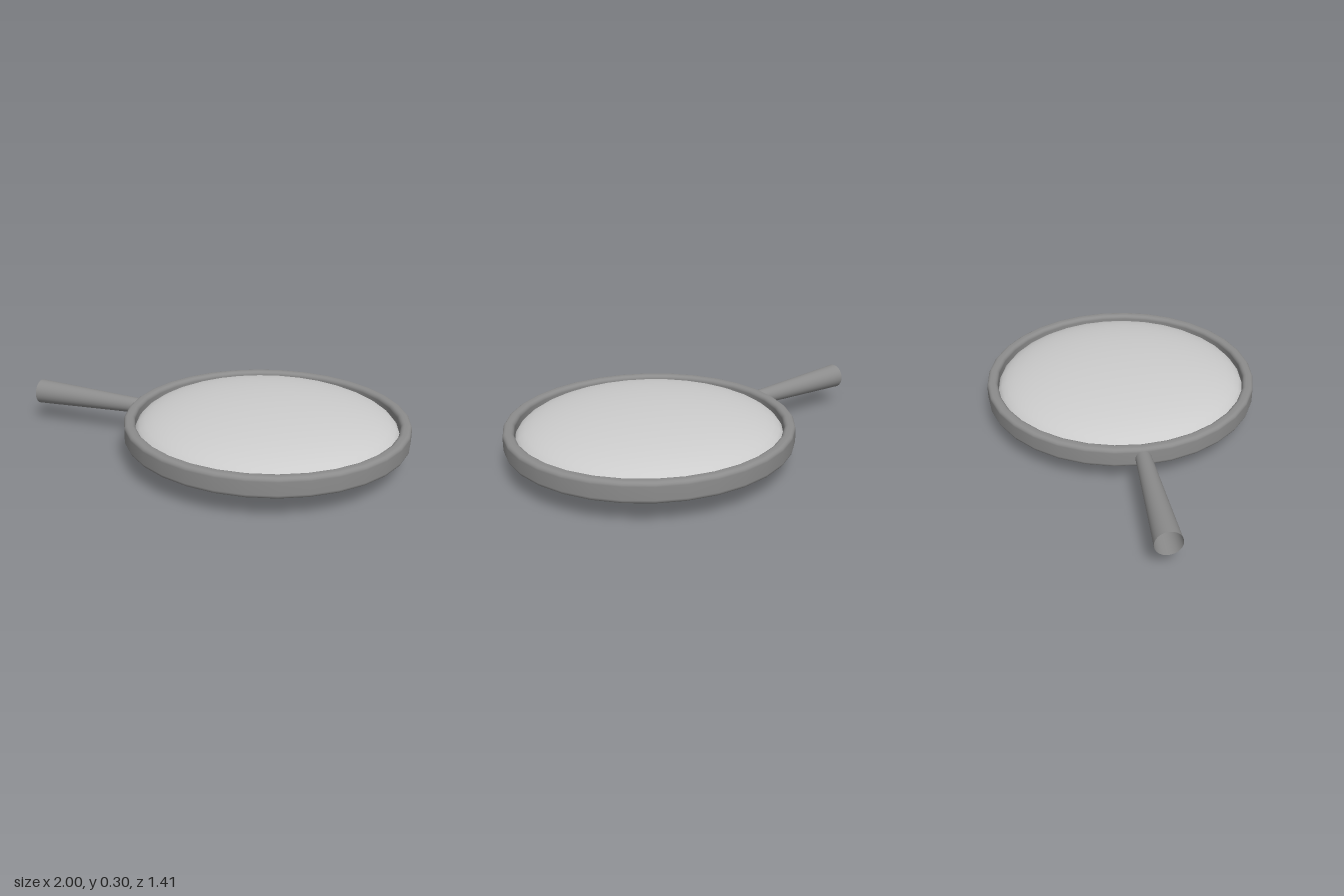
import * as THREE from 'three';

const material = (name, color, side = THREE.FrontSide) => {
  const m = new THREE.MeshStandardMaterial({ color, side });
  m.name = name;
  return m;
};

export function createModel() {
  const group = new THREE.Group();
  const frameGrey = material('frame grey', 0x8c8c8c, THREE.DoubleSide);
  const lensGrey = material('lens pale grey', 0xcccccc);
  const add = (name, geometry, mat, x, y) => {
    const mesh = new THREE.Mesh(geometry, mat);
    mesh.name = name;
    mesh.position.set(x, y, 0);
    group.add(mesh);
    return mesh;
  };

  const centreX = 0.295, midY = 0.162;

  // Rim: rounded rectangular section swept round the lens
  const inner = 0.65, outer = 0.705, half = 0.051, r = 0.02;
  const section = [];
  const corners = [[outer - r, -half + r, -90], [outer - r, half - r, 0],
    [inner + r, half - r, 90], [inner + r, -half + r, 180]];
  for (const [cx, cy, start] of corners) {
    for (let i = 0; i <= 4; i++) {
      const a = THREE.MathUtils.degToRad(start + i * 22.5);
      section.push(new THREE.Vector2(cx + r * Math.cos(a), cy + r * Math.sin(a)));
    }
  }
  section.push(section[0].clone());
  add('rim', new THREE.LatheGeometry(section, 32), frameGrey, centreX, midY);

  // Lens: flattened biconvex disc
  const lens = new THREE.SphereGeometry(0.652, 32, 24);
  lens.scale(1, 0.148 / 0.652, 1);
  add('lens', lens, lensGrey, centreX, 0.148);

  // Handle: open tube that widens away from the rim
  const handle = new THREE.CylinderGeometry(0.064, 0.038, 0.61, 32, 1, true);
  handle.rotateZ(Math.PI / 2);
  add('handle', handle, frameGrey, -0.695, 0.16);

  return group;
}
